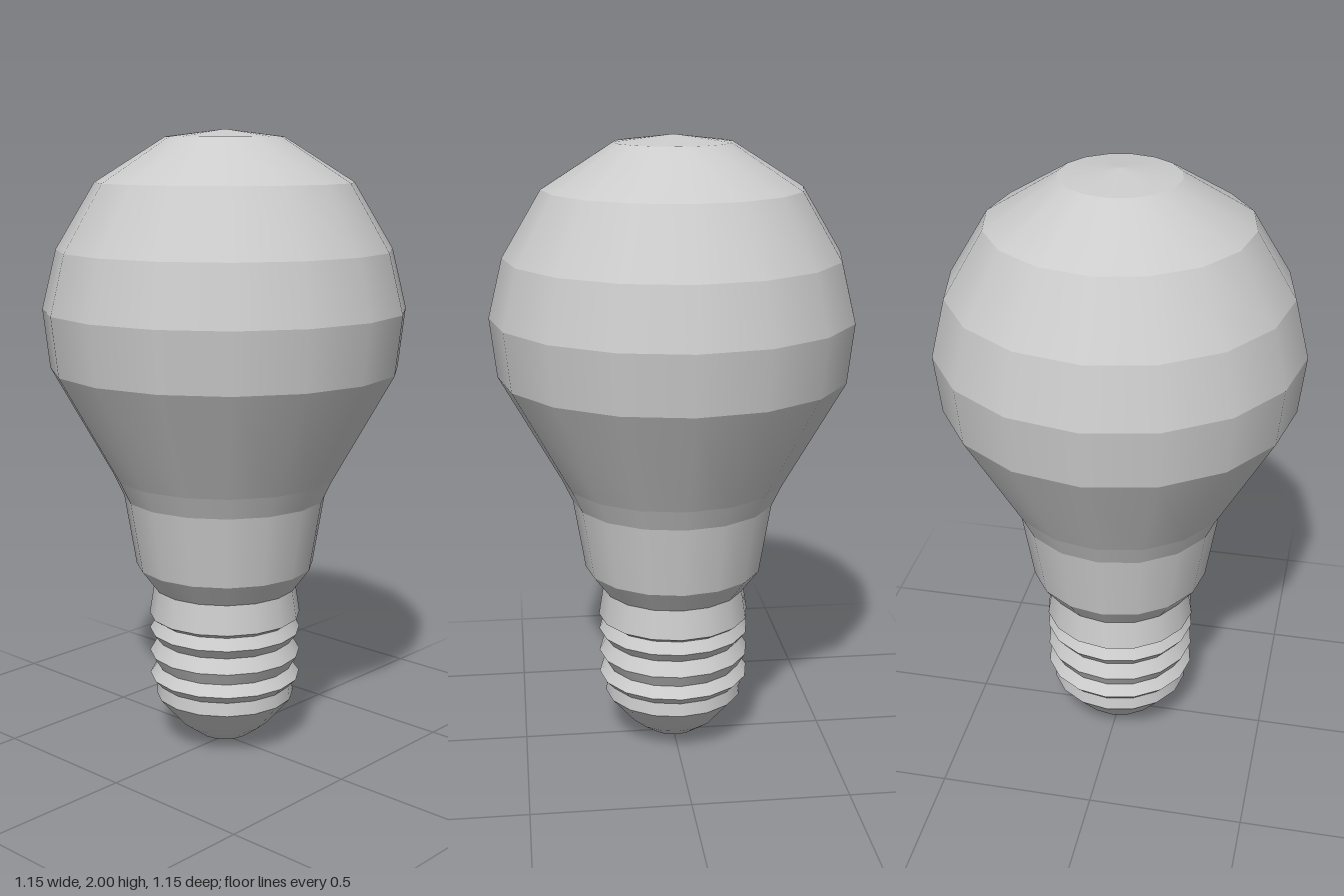
import * as THREE from 'three';
import { mergeGeometries } from 'three/addons/utils/BufferGeometryUtils.js';

const SIDES = 16;
const material = new THREE.MeshStandardMaterial({ color: 0xcccccc });

// Lathe of [radius, y] points from bottom to top, smooth along the profile
const lathe = (points) =>
  new THREE.LatheGeometry(points.map(([r, y]) => new THREE.Vector2(r, y)), SIDES);

// Each band is smooth around the axis, with a sharp edge at every ring
const banded = (points) =>
  mergeGeometries(points.slice(1).map((p, i) => lathe([points[i], p])));

export function createModel() {
  const group = new THREE.Group();
  group.name = 'lightBulb';
  const add = (name, geometry) => {
    const mesh = new THREE.Mesh(geometry, material);
    mesh.name = name;
    group.add(mesh);
  };

  // Contact tip: rounded cone under the screw
  add('contactTip', lathe([
    [0, 0], [0.04, 0.006], [0.085, 0.023], [0.145, 0.066], [0.228, 0.162],
  ]));

  // Screw base: alternating grooves and ridges, then the collar
  add('screwBase', banded([
    [0.228, 0.162], [0.222, 0.205], [0.248, 0.232], [0.222, 0.267],
    [0.248, 0.31], [0.222, 0.355], [0.248, 0.388], [0.226, 0.425],
    [0.248, 0.44], [0.233, 0.535],
  ]));

  // Glass: neck, flare and faceted globe
  add('glassBulb', banded([
    [0.233, 0.535], [0.289, 0.61], [0.327, 0.84], [0.36, 0.91],
    [0.555, 1.258], [0.576, 1.446], [0.53, 1.632], [0.406, 1.838],
    [0.185, 1.977], [0, 2],
  ]));

  return group;
}
